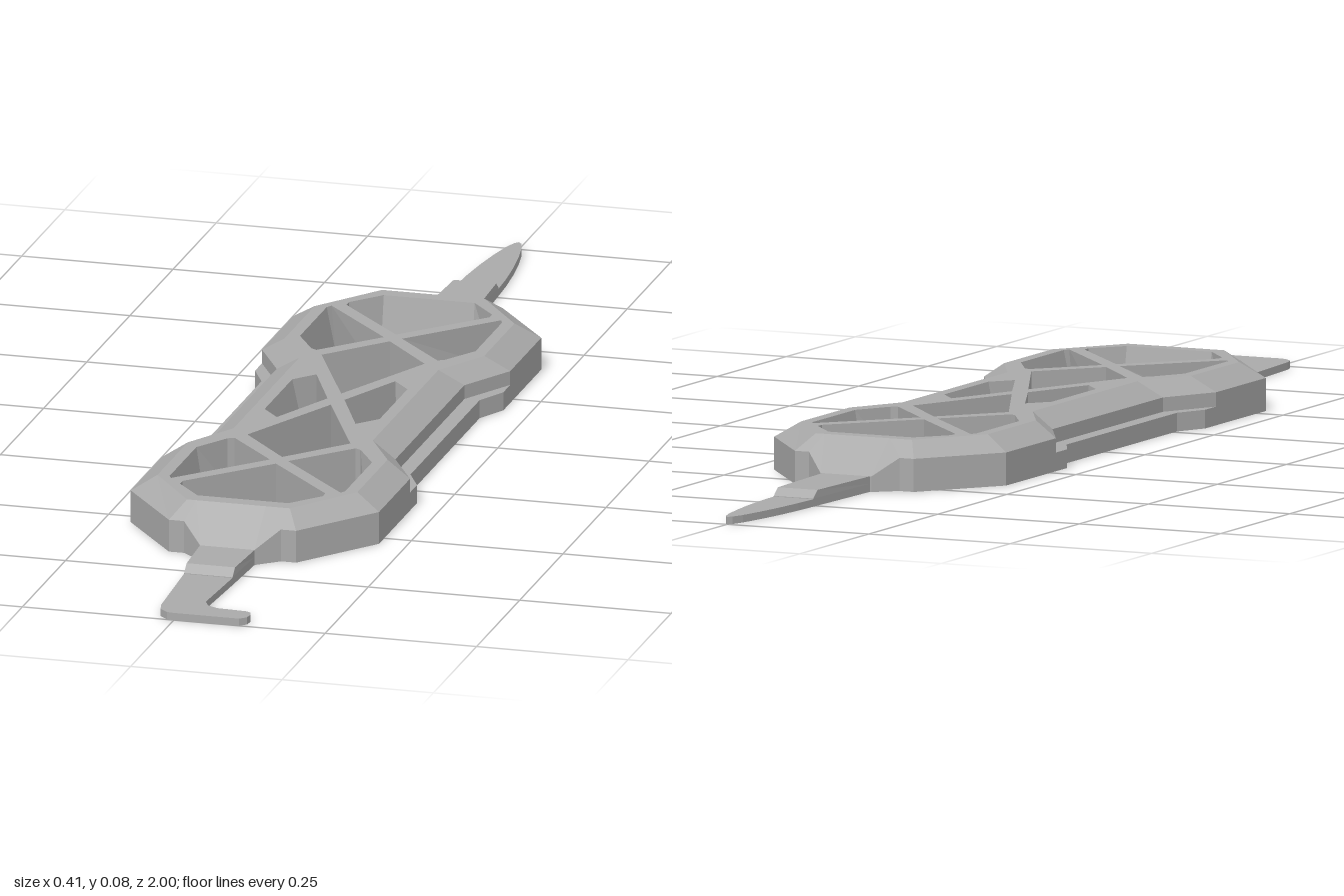
import * as THREE from 'three';

const MID = 0.06; // centre of the frame along z

// Faceted solid from stacked loops of [x, y, z], with optional tapered through holes.
function solid(name, levels, holes, material) {
  const pos = [];
  const tri = (a, b, c) => {
    const u = new THREE.Vector3(...b).sub(new THREE.Vector3(...a));
    const v = new THREE.Vector3(...c).sub(new THREE.Vector3(...a));
    if (u.cross(v).length() > 1e-9) pos.push(...a, ...b, ...c);
  };
  const flat = (loop) => loop.map((p) => new THREE.Vector2(p[0], p[2]));
  const walls = (stack, inward) => {
    const flip = (THREE.ShapeUtils.area(flat(stack[0])) < 0) !== inward;
    const s = flip ? stack.map((l) => [...l].reverse()) : stack;
    for (let k = 0; k + 1 < s.length; k++) {
      s[k].forEach((p, i) => {
        const j = (i + 1) % s[k].length;
        tri(p, s[k + 1][i], s[k + 1][j]);
        tri(p, s[k + 1][j], s[k][j]);
      });
    }
  };
  const cap = (loop, inner, up) => {
    const all = [loop, ...inner].flat();
    THREE.ShapeUtils.triangulateShape(flat(loop), inner.map(flat)).forEach(([i, j, k]) => {
      const [a, b, c] = [all[i], all[j], all[k]];
      const ny = (b[2] - a[2]) * (c[0] - a[0]) - (b[0] - a[0]) * (c[2] - a[2]);
      if (ny > 0 === up) tri(a, b, c);
      else tri(a, c, b);
    });
  };
  walls(levels, false);
  holes.forEach((h) => walls(h, true));
  cap(levels[0], holes.map((h) => h[0]), false);
  cap(levels[levels.length - 1], holes.map((h) => h[1]), true);
  const geo = new THREE.BufferGeometry();
  geo.setAttribute('position', new THREE.Float32BufferAttribute(pos, 3));
  geo.computeVertexNormals();
  const mesh = new THREE.Mesh(geo, material);
  mesh.name = name;
  return mesh;
}

// Mirror a quarter outline [x, y, w] into a full loop, w measured from the frame centre.
function mirrorLoop(quarter) {
  const put = (sx, sz) => quarter.map(([x, y, w]) => [sx * x, y, MID + sz * w]);
  return [...put(1, 1), ...put(1, -1).reverse(), ...put(-1, -1), ...put(-1, 1).reverse()];
}

// Hole with a top loop and a bottom loop pulled in at the rim.
function hole(points, sx, sz, limitX, limitW) {
  const clamp = THREE.MathUtils.clamp;
  const at = (y, lx, lw) => points.map(([x, w]) =>
    [sx * clamp(x, -lx, lx), y, MID + sz * clamp(w, -lw, lw)]);
  return [at(0, limitX, limitW), at(0.078, 1, 1)];
}

// Plate or step from outlines [x, z]
const layer = (pts, y) => pts.map(([x, z]) => [x, y, z]);

export function createModel() {
  const group = new THREE.Group();
  group.name = 'pocketTool';
  const metal = new THREE.MeshStandardMaterial({ color: 0xaaaaaa });
  metal.name = 'grey metal';

  // Frame outline: base with side ledge, recessed waist, bevelled top
  const ring = (y, bulge, waist) => mirrorLoop([
    [0.045, Math.min(y, 0.025), 0.63], [0.08, y, 0.6], [0.105, y, 0.6],
    [0.205, y, 0.47], [0.205, y, bulge], [waist, y, 0.2],
  ]);
  const top = mirrorLoop([
    [0.045, 0.078, 0.565], [0.07, 0.078, 0.565], [0.085, 0.078, 0.565],
    [0.165, 0.078, 0.455], [0.165, 0.078, 0.28], [0.115, 0.078, 0.19],
  ]);
  const levels = [ring(0, 0.25, 0.18), ring(0.03, 0.25, 0.18),
    ring(0.03, 0.29, 0.155), ring(0.053, 0.29, 0.155), top];

  // Openings that leave the crossed struts standing
  const endHole = [[0, 0.348], [0.118, 0.475], [0.118, 0.49], [0.075, 0.54],
    [-0.075, 0.54], [-0.118, 0.49], [-0.118, 0.475]];
  const sideHole = [[0.015, 0.33], [0.14, 0.465], [0.145, 0.455], [0.145, 0.3],
    [0.11, 0.243], [0.1, 0.237]];
  const diamond = [[0, 0.312], [0.085, 0.215], [0, 0.03], [-0.085, 0.215]];
  const waistHole = [[0.014, 0], [0.065, 0.115], [0.095, 0.08], [0.095, -0.08], [0.065, -0.115]];
  const holes = [];
  for (const s of [1, -1]) {
    holes.push(hole(endHole, 1, s, 1, 0.525), hole(diamond, 1, s, 1, 1));
    holes.push(hole(waistHole, s, 1, 0.078, 1));
    for (const sx of [1, -1]) holes.push(hole(sideHole, sx, s, 0.133, 1));
  }
  group.add(solid('frame', levels, holes, metal));

  // Stepped necks joining the frame to the tips
  const neck = (name, z0, z1, w0, w1) => {
    const outline = (z) => [[-w0, z0], [w0, z0], [w1, z], [-w1, z]];
    const slope = 0.015 * Math.sign(z1);
    group.add(solid(name, [layer(outline(z1), 0), layer(outline(z1), 0.013),
      layer(outline(z1 - slope), 0.025)], [], metal));
  };
  neck('hookNeck', 0.69, 0.8, 0.045, 0.04);
  neck('spikeNeck', -0.57, -0.76, 0.042, 0.035);

  // Flat tips
  const plate = (name, pts) =>
    group.add(solid(name, [layer(pts, 0), layer(pts, 0.012)], [], metal));
  plate('hook', [[-0.04, 0.8], [-0.031, 0.965], [-0.026, 0.985], [-0.012, 0.998], [0, 1],
    [0.108, 1], [0.118, 0.99], [0.12, 0.975], [0.116, 0.964], [0.108, 0.96],
    [0.06, 0.957], [0.042, 0.948], [0.033, 0.93], [0.04, 0.8]]);
  const half = [[0.035, -0.76], [0.033, -0.81], [0.028, -0.87], [0.021, -0.925],
    [0.013, -0.97], [0.006, -0.993]];
  plate('spike', [...half, [0, -1], ...half.map(([x, z]) => [-x, z]).reverse()]);

  return group;
}
